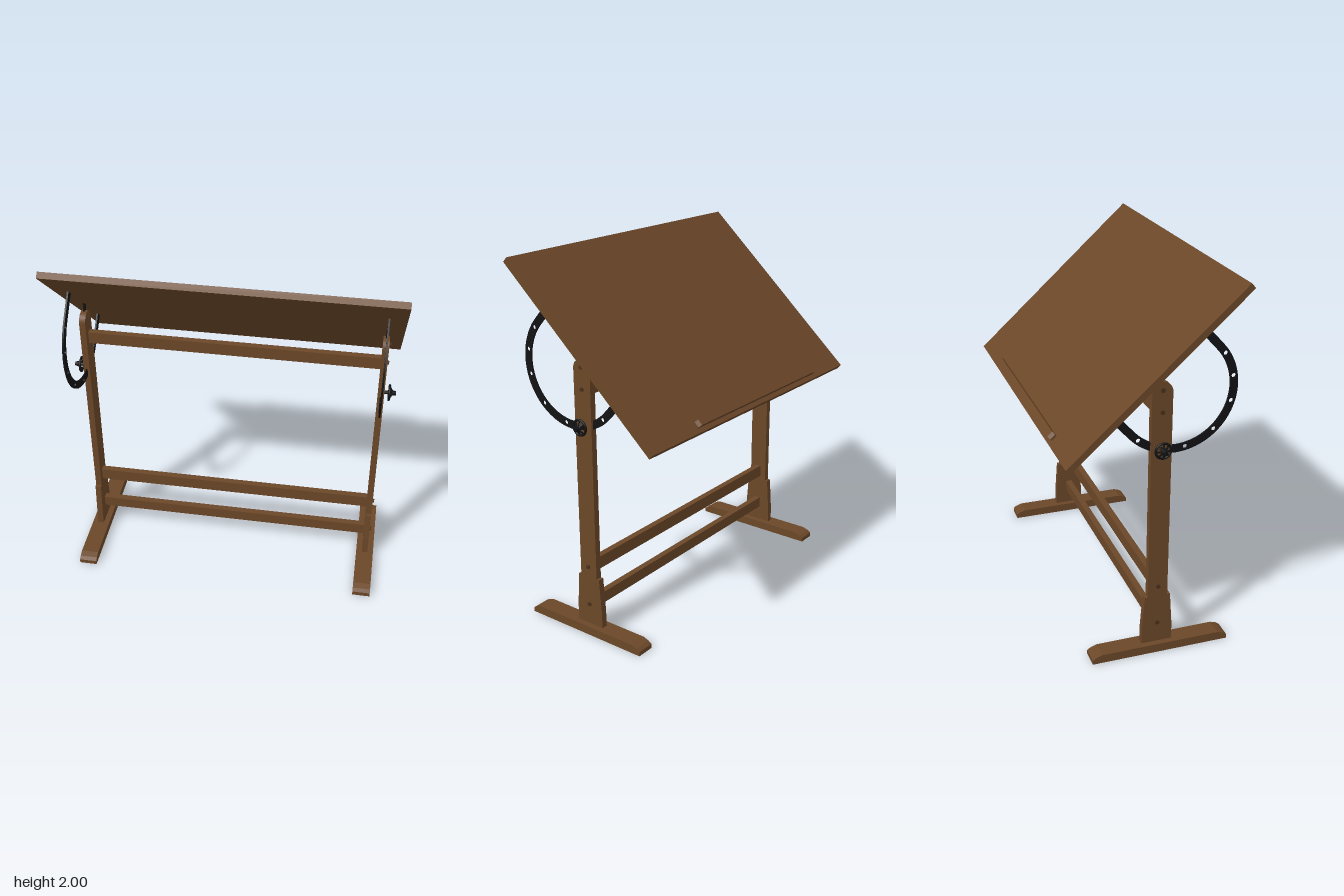
import * as THREE from 'three';

const wood = new THREE.MeshStandardMaterial({ color: 0x6b4728 });
const boltWood = new THREE.MeshStandardMaterial({ color: 0x4a301b });
const iron = new THREE.MeshStandardMaterial({ color: 0x121214 });

const POST_Z = 0.042;   // centre line of the posts
const TILT = 0.738;     // slope of the board

function add(parent, name, geometry, material, x = 0, y = 0, z = 0) {
  const mesh = new THREE.Mesh(geometry, material);
  mesh.name = name;
  mesh.position.set(x, y, z);
  parent.add(mesh);
  return mesh;
}

// Extrude a (z, y) outline along x, centred on x = 0
function sideProfile(shape, width) {
  const g = new THREE.ExtrudeGeometry(shape, { depth: width, bevelEnabled: false, curveSegments: 24 });
  return g.translate(0, 0, -width / 2).rotateY(-Math.PI / 2);
}

const polygon = (pts) => new THREE.Shape(pts.map(([a, b]) => new THREE.Vector2(a, b)));

// Cylinder lying along x
const xCylinder = (r0, r1, length, sides = 20) =>
  new THREE.CylinderGeometry(r1, r0, length, sides).rotateZ(-Math.PI / 2);

// Upright with flared base and round head
function postGeometry() {
  const s = new THREE.Shape();
  s.moveTo(0.085, 0.045);
  s.lineTo(0.083, 0.15);
  s.lineTo(0.07, 0.33);
  s.lineTo(0.054, 0.33);
  s.lineTo(0.054, 1.477);
  s.absarc(0, 1.477, 0.054, 0, Math.PI, false);
  s.lineTo(-0.054, 0.33);
  s.lineTo(-0.07, 0.33);
  s.lineTo(-0.083, 0.15);
  s.lineTo(-0.085, 0.045);
  return sideProfile(s, 0.034);
}

// U-shaped tilt band with adjusting holes, in the board's own frame
function bandGeometry() {
  const cz = 0.016, cy = -0.155, outer = 0.323, inner = 0.281, top = -0.015;
  const s = new THREE.Shape();
  s.moveTo(cz - outer, top);
  s.lineTo(cz - outer, cy);
  s.absarc(cz, cy, outer, Math.PI, 2 * Math.PI, false);
  s.lineTo(cz + outer, top);
  s.lineTo(cz + inner, top);
  s.lineTo(cz + inner, cy);
  s.absarc(cz, cy, inner, 2 * Math.PI, Math.PI, true);
  s.lineTo(cz - inner, top);
  for (const deg of [-82, -57, -32, 0, 32, 57, 82]) {
    const a = THREE.MathUtils.degToRad(deg - 90);
    const hole = new THREE.Path();
    hole.absarc(cz + 0.302 * Math.cos(a), cy + 0.302 * Math.sin(a), 0.012, 0, 2 * Math.PI, true);
    s.holes.push(hole);
  }
  return sideProfile(s, 0.009);
}

// Spoked hand wheel facing +x
function handWheel() {
  const wheel = new THREE.Group();
  wheel.name = 'handWheel';
  const rim = new THREE.TorusGeometry(0.04, 0.0065, 8, 32).rotateY(Math.PI / 2);
  add(wheel, 'wheelRim', rim, iron, 0.036);
  add(wheel, 'wheelShaft', xCylinder(0.01, 0.01, 0.05), iron, 0.025);
  add(wheel, 'wheelHub', xCylinder(0.017, 0.011, 0.03), iron, 0.057);
  for (let i = 0; i < 8; i++) {
    const arm = new THREE.Group();
    arm.rotation.x = i * Math.PI / 4;
    const spoke = add(arm, 'wheelSpoke', new THREE.BoxGeometry(0.007, 0.036, 0.007), iron, 0.044, 0.024);
    spoke.rotation.z = 0.5;
    wheel.add(arm);
  }
  return wheel;
}

export function createModel() {
  const model = new THREE.Group();
  model.name = 'draftingTable';

  // Stand
  const stand = new THREE.Group();
  stand.name = 'stand';
  stand.position.x = -0.006;
  model.add(stand);

  const footShape = polygon([
    [-0.323, 0], [0.434, 0], [0.434, 0.024], [0.415, 0.037], [0.382, 0.048],
    [-0.271, 0.048], [-0.304, 0.037], [-0.323, 0.024],
  ]);
  for (const side of [1, -1]) {
    const x = side * 0.814;
    const label = side > 0 ? 'left' : 'right';
    add(stand, label + 'Foot', sideProfile(footShape, 0.1), wood, x);
    add(stand, label + 'Post', postGeometry(), wood, x, 0, POST_Z);
    // Bolts through the rails and the pivot
    for (const y of [0.167, 0.39, 1.375, 1.49]) {
      add(stand, label + 'Bolt', xCylinder(0.012, 0.01, 0.012, 16), boltWood, x + side * 0.02, y, POST_Z);
    }
    const wheel = handWheel();
    wheel.position.set(x + side * 0.008, 1.18, POST_Z);
    if (side < 0) wheel.rotation.y = Math.PI;
    stand.add(wheel);
    // Strap from the post head to the board
    const strap = polygon([[0.056, 1.46], [0.028, 1.46], [0.008, 1.575], [0.036, 1.59]].reverse());
    add(stand, label + 'PivotStrap', sideProfile(strap, 0.009), iron, x);
  }

  // Cross rails: bottom and top heights
  const rails = { lowerRail: [0.138, 0.202], middleRail: [0.355, 0.425], upperRail: [1.34, 1.408] };
  for (const [name, [y0, y1]] of Object.entries(rails)) {
    add(stand, name, new THREE.BoxGeometry(1.6, y1 - y0, 0.036), wood, 0, (y0 + y1) / 2, POST_Z);
  }

  // Tilted board with everything fixed to it
  const top = new THREE.Group();
  top.name = 'tiltingTop';
  top.position.set(0, 1.57, 0.002);
  top.rotation.x = -TILT;
  model.add(top);

  add(top, 'board', new THREE.BoxGeometry(1.8, 0.034, 1.23), wood);

  // Pencil ledge with chamfered ends
  const ledge = polygon([[-0.56, 0], [0.56, 0], [0.56, 0.012], [0.545, 0.028], [-0.545, 0.028], [-0.56, 0.012]]);
  const ledgeGeometry = new THREE.ExtrudeGeometry(ledge, { depth: 0.035, bevelEnabled: false });
  add(top, 'pencilLedge', ledgeGeometry, wood, -0.035, 0.017, -0.59);

  for (const side of [1, -1]) {
    add(top, side > 0 ? 'leftTiltBand' : 'rightTiltBand', bandGeometry(), iron, side * 0.814 - 0.006);
  }
  return model;
}
